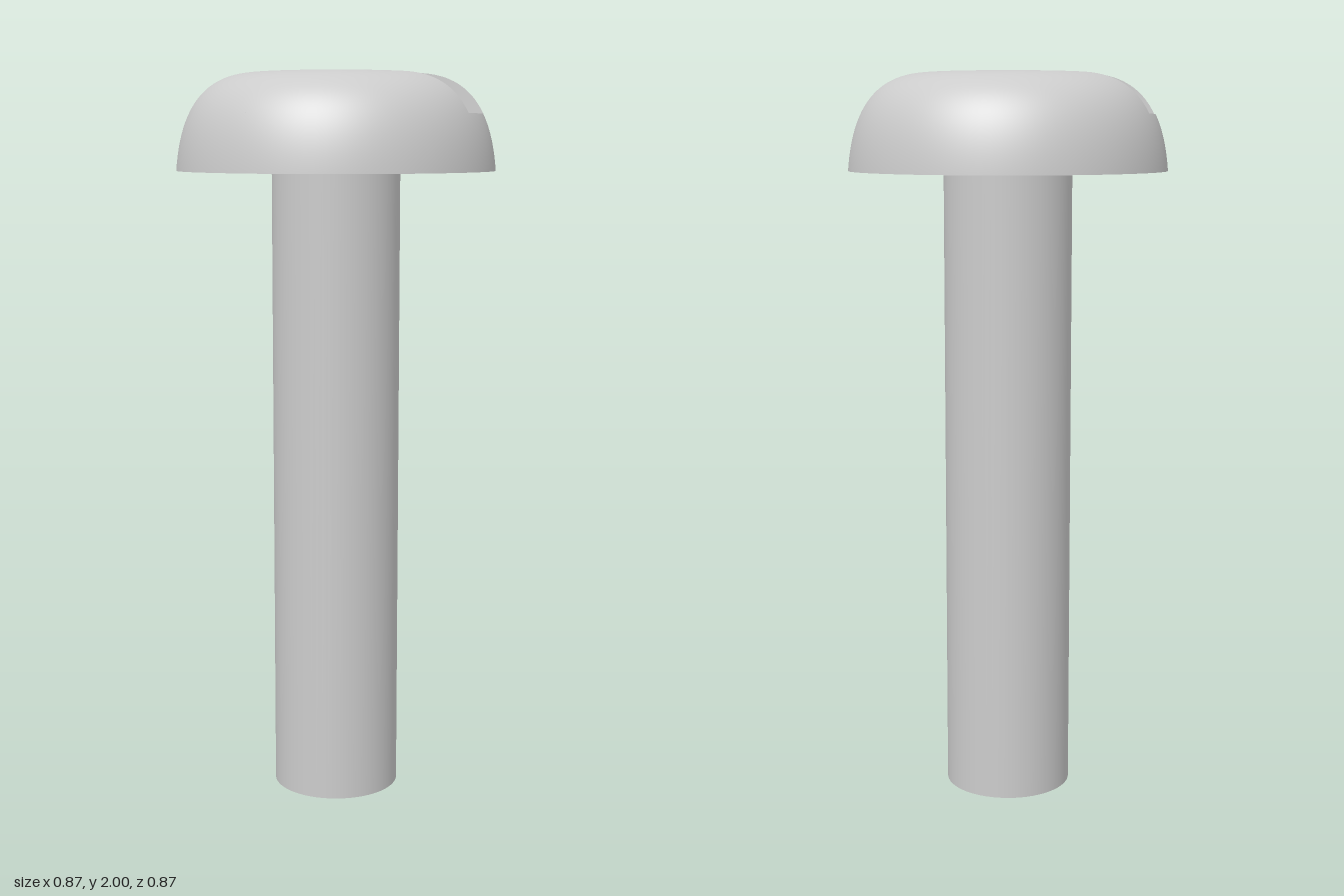
import * as THREE from 'three';
import { ParametricGeometry } from 'three/addons/geometries/ParametricGeometry.js';

const SHANK_R = 0.175, HEAD_R = 0.433, HEAD_Y = 1.74, TOP_Y = 2;
const SLOT = 0.083; // half width of the slot
const T_FLOOR = 0.37; // place on the head profile where the slot floor lies

// Head profile (radius, height), from the rim to the edge of the flat top
const profile = new THREE.CubicBezierCurve(
  new THREE.Vector2(HEAD_R, HEAD_Y), new THREE.Vector2(0.42, 1.9),
  new THREE.Vector2(0.36, TOP_Y), new THREE.Vector2(0.21, TOP_Y));
const slotAngle = (r) => Math.asin(SLOT / r);

// Part of the domed side: t0..t1 along the profile, starting angle given per radius
function dome(t0, t1, startAngle, endAngle, slices, stacks) {
  return new ParametricGeometry((u, v, out) => {
    const p = profile.getPoint(t0 + (t1 - t0) * v);
    const a = THREE.MathUtils.lerp(startAngle(p.x), endAngle(p.x), u);
    out.set(p.x * Math.cos(a), p.y, -p.x * Math.sin(a));
  }, slices, stacks);
}

export function createModel() {
  const model = new THREE.Group();
  model.name = 'slottedScrew';
  const material = new THREE.MeshStandardMaterial({ color: 0xcccccc });
  const add = (parent, name, geometry) => {
    const mesh = new THREE.Mesh(geometry, material);
    mesh.name = name;
    parent.add(mesh);
    return mesh;
  };

  // Shank
  add(model, 'shank', new THREE.CylinderGeometry(SHANK_R, SHANK_R, HEAD_Y, 64)
    .translate(0, HEAD_Y / 2, 0));

  // Head below the slot floor
  const head = new THREE.Group();
  head.name = 'head';
  model.add(head);
  add(head, 'headUnderside', new THREE.RingGeometry(SHANK_R, HEAD_R, 96)
    .rotateX(Math.PI / 2).translate(0, HEAD_Y, 0));
  add(head, 'headRim', dome(0, T_FLOOR, () => 0, () => 2 * Math.PI, 96, 10));

  // Slot floor with rounded ends
  const floor = profile.getPoint(T_FLOOR);
  const fa = slotAngle(floor.x);
  const floorShape = new THREE.Shape()
    .absarc(0, 0, floor.x, -fa, fa)
    .absarc(0, 0, floor.x, Math.PI - fa, Math.PI + fa);
  add(head, 'slotFloor', new THREE.ShapeGeometry(floorShape, 12)
    .rotateX(-Math.PI / 2).translate(0, floor.y, 0));

  // Half of the head beside the slot, repeated on the other side
  const topR = profile.getPoint(1).x;
  const ta = slotAngle(topR);
  const topShape = new THREE.Shape().absarc(0, 0, topR, ta, Math.PI - ta);
  const edge = [];
  for (let i = 0; i <= 20; i++) {
    const p = profile.getPoint(T_FLOOR + (1 - T_FLOOR) * i / 20);
    edge.push(new THREE.Vector2(Math.sqrt(p.x * p.x - SLOT * SLOT), p.y));
  }
  const mirrored = edge.map((p) => new THREE.Vector2(-p.x, p.y)).reverse();
  const wallShape = new THREE.Shape([...edge, ...mirrored]);

  for (const [name, turn] of [['backHalf', 0], ['frontHalf', Math.PI]]) {
    const half = new THREE.Group();
    half.name = name;
    half.rotation.y = turn;
    head.add(half);
    add(half, 'domedSide',
      dome(T_FLOOR, 1, slotAngle, (r) => Math.PI - slotAngle(r), 48, 20));
    add(half, 'flatTop', new THREE.ShapeGeometry(topShape, 48)
      .rotateX(-Math.PI / 2).translate(0, TOP_Y, 0));
    add(half, 'slotWall', new THREE.ShapeGeometry(wallShape).translate(0, 0, -SLOT));
  }
  return model;
}
